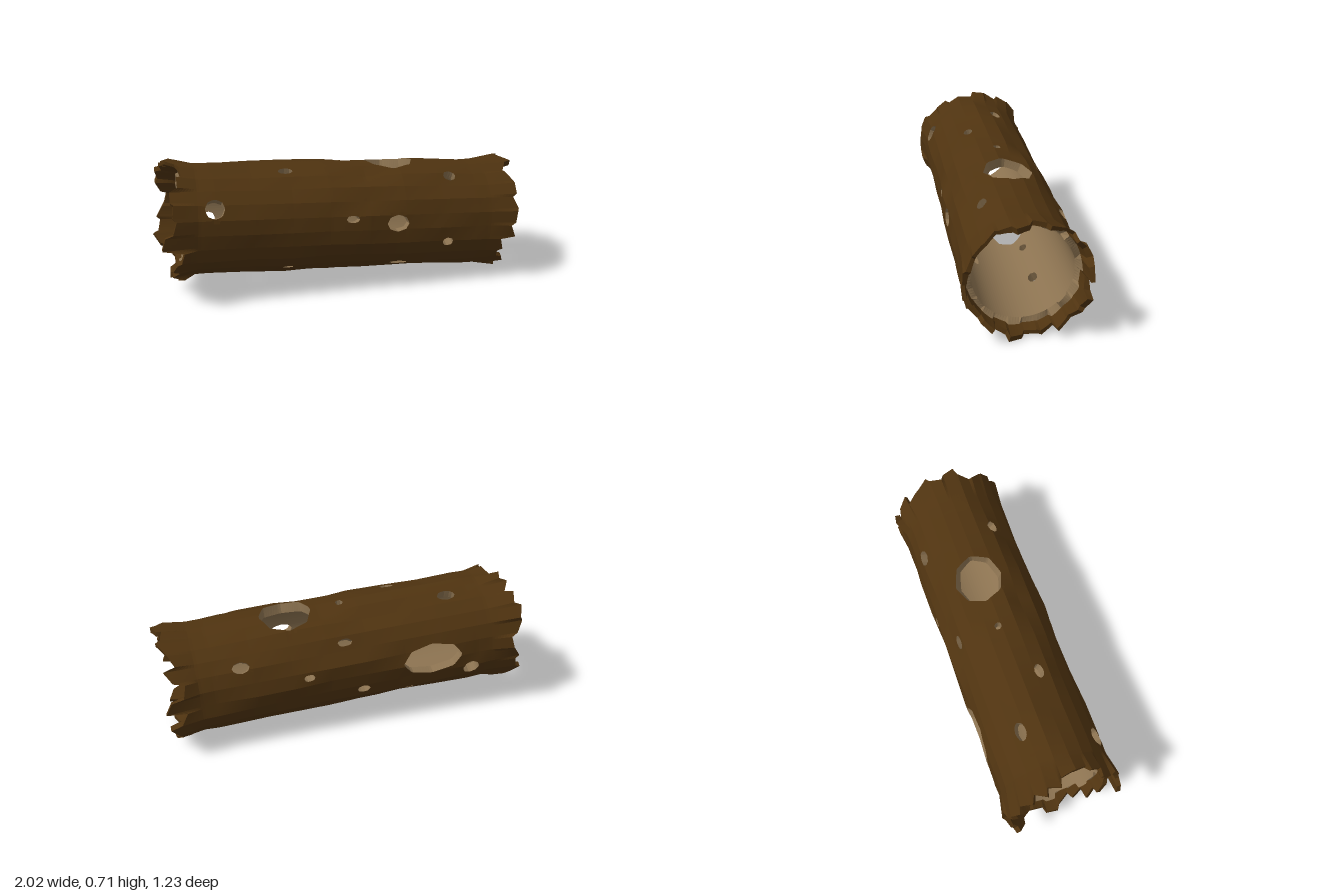
import * as THREE from 'three';

const SECTORS = 24, SUB = 5, COLS = SECTORS * SUB, ROWS = 120, RINGS = 9;
const LIP = 5; // rows at each end where bare bark outlasts the wood
const HALF = 0.905, R_OUT = 0.293, R_MID = 0.268, R_IN = 0.246;

// Holes: [position along the log, angle from the top toward the front, half length, half width]
const HOLES = [
  [0.275, -0.08, 0.135, 0.125], [-0.45, -1.53, 0.16, 0.09], [-0.04, -2.8, 0.145, 0.105],
  [-0.585, -0.36, 0.05, 0.03], [-0.316, 0.34, 0.04, 0.025], [0.01, -0.9, 0.04, 0.02],
  [-0.02, -0.06, 0.02, 0.02], [0.56, -1.0, 0.045, 0.03], [0.57, 0.57, 0.035, 0.03],
  [-0.7, 1.11, 0.05, 0.05], [0.01, 1.36, 0.035, 0.02], [0.257, 1.46, 0.06, 0.045],
  [0.545, 1.86, 0.03, 0.025], [0.31, 2.49, 0.05, 0.025], [-0.305, 2.4, 0.03, 0.02],
  [0.22, -1.42, 0.03, 0.02], [-0.07, -1.93, 0.035, 0.025], [-0.34, -2.3, 0.03, 0.025],
  [0.5, -2.65, 0.04, 0.03], [0.19, -2.6, 0.03, 0.025], [-0.52, -2.95, 0.025, 0.02],
  [-0.67, -1.9, 0.045, 0.045],
];

let seed = 7;
const rand = (lo, hi) => {
  seed = (seed * 16807) % 2147483647;
  return lo + (hi - lo) * (seed / 2147483647);
};
const table = (n, lo, hi) => Array.from({ length: n }, () => rand(lo, hi));
const mod = (a, n) => ((a % n) + n) % n;

// Random bark relief, splinter lengths and splinter flare for both ends
const relief = Array.from({ length: RINGS + 1 }, () => table(SECTORS, -0.009, 0.009));
const ends = [0, 1].map(() => ({
  tooth: table(SECTORS, -0.055, 0.05), slope: table(SECTORS, -0.02, 0.02),
  flare: table(SECTORS, 0.005, 0.03), wood: table(SECTORS, -0.04, 0.02),
}));

const angleDiff = (a, b) => mod(a - b + Math.PI, 2 * Math.PI) - Math.PI;
const sAt = i => -HALF + 2 * HALF * i / ROWS;
const tAt = k => 2 * Math.PI * k / COLS;

// Distance to a hole, 1 on its eight-sided outline
function holeDistance(h, s, t) {
  const x = (s - h[0]) / h[2], y = angleDiff(t, h[1]) * R_OUT / h[3];
  const local = mod(Math.atan2(y, x), Math.PI / 4) - Math.PI / 8;
  return Math.hypot(x, y) * Math.cos(local) / Math.cos(Math.PI / 10);
}

// Radius of the faceted outer surface
function barkRadius(s, t) {
  const f = mod(t / (2 * Math.PI) * SECTORS, SECTORS), j = Math.floor(f) % SECTORS, v = f - Math.floor(f);
  const g = (s + HALF) / (2 * HALF) * RINGS, n = Math.min(RINGS - 1, Math.max(0, Math.floor(g))), u = g - n;
  const ring = m => relief[m][j] * (1 - v) + relief[m][(j + 1) % SECTORS] * v;
  const facet = Math.cos(Math.PI / SECTORS) / Math.cos((v - 0.5) * 2 * Math.PI / SECTORS);
  return R_OUT * facet + ring(n) * (1 - u) + ring(n + 1) * u;
}

// Outer bark, inner bark and inner wood points for every grid corner, plus the cells left open by holes
function buildGrid() {
  const open = (i, k) => HOLES.some(h => holeDistance(h, sAt(i + 0.5), tAt(k + 0.5)) < 1);
  const gap = [];
  for (let i = 0; i < ROWS; i++) gap.push(Array.from({ length: COLS }, (_, k) => open(i, k)));

  const outer = [], middle = [], inner = [];
  for (let i = 0; i <= ROWS; i++) {
    [outer, middle, inner].forEach(grid => grid.push([]));
    for (let k = 0; k < COLS; k++) {
      let s = sAt(i), t = tAt(k);
      // Corners around a hole move onto its outline
      const around = [[i - 1, k - 1], [i - 1, k], [i, k - 1], [i, k]].map(([a, b]) => gap[a]?.[mod(b, COLS)]);
      if (around.includes(true) && around.includes(false)) {
        const h = HOLES.reduce((a, b) => (holeDistance(b, s, t) < holeDistance(a, s, t) ? b : a));
        const d = Math.max(holeDistance(h, s, t), 0.3);
        s = h[0] + (s - h[0]) / d;
        t = h[1] + angleDiff(t, h[1]) / d;
      }
      // Splintered ends
      const end = ends[s > 0 ? 1 : 0], j = Math.floor(k / SUB), sign = Math.sign(s);
      const w = Math.min(1, Math.max(0, (Math.abs(s) - 0.78) / (HALF - 0.78)));
      const tip = s + sign * w * (end.tooth[j] + end.slope[j] * ((k % SUB) / (SUB - 1) * 2 - 1));
      const woodEnd = s + sign * (i === LIP || i === ROWS - LIP ? end.wood[j] : 0);
      const flare = w * end.flare[j];
      const point = (along, r) => [along, r * Math.cos(t), r * Math.sin(t)];
      outer[i].push(point(tip, barkRadius(s, t) + flare));
      middle[i].push(point(tip, R_MID + flare));
      inner[i].push(point(woodEnd, R_IN));
    }
  }
  return { gap, outer, middle, inner };
}

function makeMesh(name, positions, color) {
  const geometry = new THREE.BufferGeometry();
  geometry.setAttribute('position', new THREE.Float32BufferAttribute(positions, 3));
  geometry.computeVertexNormals();
  const mesh = new THREE.Mesh(geometry, new THREE.MeshStandardMaterial({ color, flatShading: true }));
  mesh.name = name;
  return mesh;
}

export function createModel() {
  const { gap, outer, middle, inner } = buildGrid();
  const bark = [], barkLip = [], lining = [], holeRims = [], barkRim = [], woodRim = [];
  const quad = (list, a, b, c, d) => list.push(...a, ...b, ...c, ...a, ...c, ...d);

  for (let i = 0; i < ROWS; i++) {
    const lip = i < LIP || i >= ROWS - LIP;
    for (let k = 0; k < COLS; k++) {
      if (gap[i][k]) continue;
      const n = (k + 1) % COLS;
      const corners = [[i, k], [i, n], [i + 1, n], [i + 1, k]];
      const [o, m, p] = [outer, middle, inner].map(grid => corners.map(([a, b]) => grid[a][b]));
      quad(bark, ...o);
      if (lip) quad(barkLip, m[3], m[2], m[1], m[0]);
      else quad(lining, p[3], p[2], p[1], p[0]);
      // Wall thickness along hole edges, wood ends and bark tips
      [[i - 1, k], [i, n], [i + 1, k], [i, mod(k - 1, COLS)]].forEach(([a, b], e) => {
        const f = (e + 1) % 4;
        if (a < 0 || a >= ROWS) quad(barkRim, o[f], o[e], m[e], m[f]);
        else if (gap[a][b]) quad(holeRims, o[f], o[e], p[e], p[f]);
        else if (!lip && (a < LIP || a >= ROWS - LIP)) quad(woodRim, m[f], m[e], p[e], p[f]);
      });
    }
  }

  const BARK = 0x4f3310, WOOD = 0x8b7250;
  const log = new THREE.Group();
  log.name = 'hollowLog';
  log.add(
    makeMesh('bark', bark, BARK),
    makeMesh('barkLips', barkLip, BARK),
    makeMesh('barkTips', barkRim, BARK),
    makeMesh('innerLining', lining, WOOD),
    makeMesh('holeRims', holeRims, WOOD),
    makeMesh('woodEnds', woodRim, WOOD),
  );
  // The log lies turned and slightly tilted
  log.rotation.set(0, -0.365, -0.052, 'YXZ');
  log.position.y = 0.378;
  const model = new THREE.Group();
  model.name = 'log';
  model.add(log);
  return model;
}
